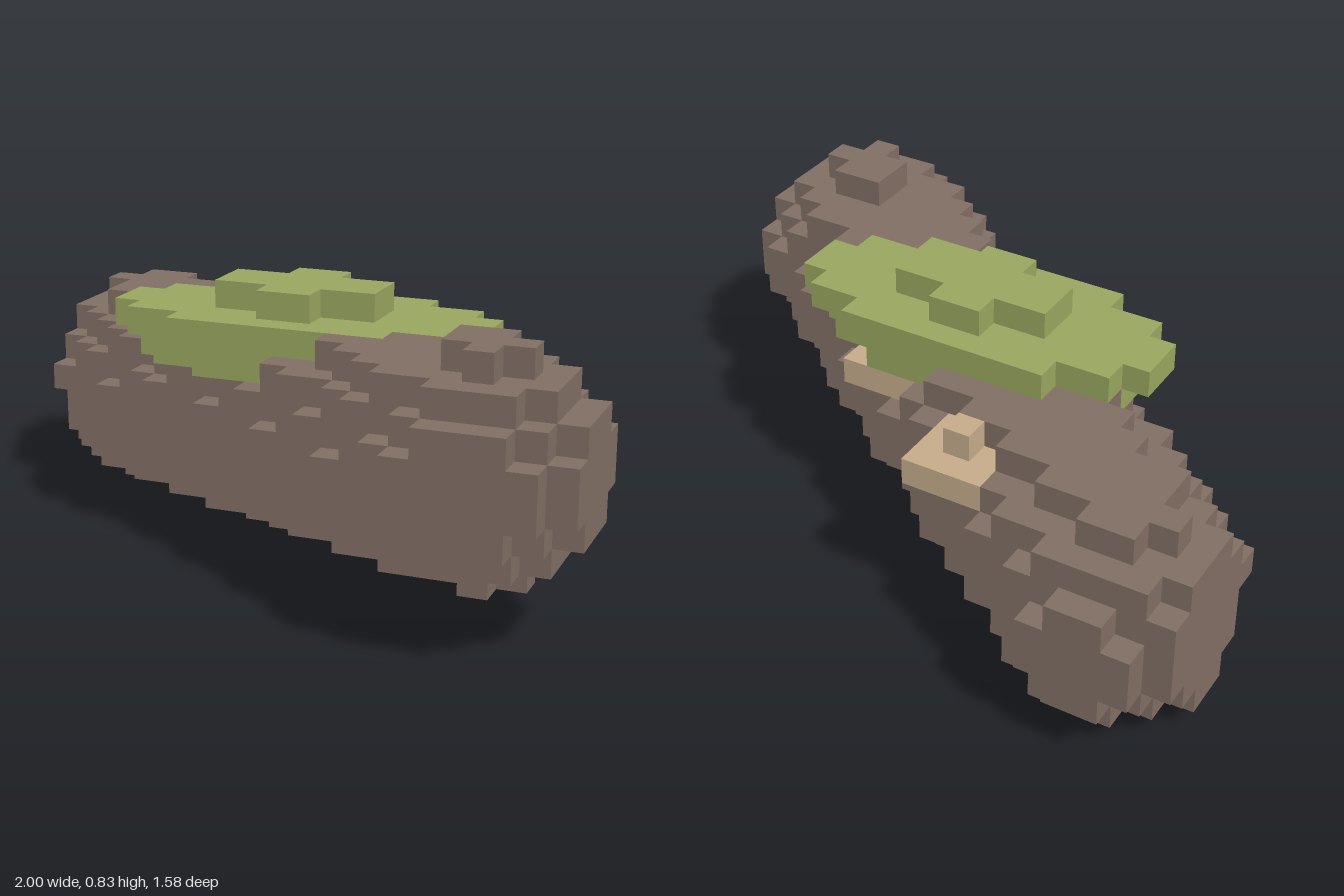
import * as THREE from 'three';
import { mergeGeometries } from 'three/addons/utils/BufferGeometryUtils.js';

const NX = 24, NY = 10, NZ = 19, CELL = 1 / 12;

// Fallen trunk: a round-ended log rising gently from start to end, in cell units
const START = new THREE.Vector3(2.6, 3.6, 3.3);
const END = new THREE.Vector3(20, 5.5, 15);
const AXIS = END.clone().sub(START);

function inTrunk(p) {
  const t = THREE.MathUtils.clamp(p.clone().sub(START).dot(AXIS) / AXIS.lengthSq(), 0, 1);
  const nearest = START.clone().addScaledVector(AXIS, t);
  return p.distanceToSquared(nearest) <= 14.35 - 0.85 * t;
}

// Moss cushion: a flattened ellipsoid lying over the middle
function inMoss(p) {
  return ((p.x - 11.5) / 7) ** 2 + ((p.y - 7.63) / 1.6) ** 2 + ((p.z - 9.5) / 3) ** 2 <= 1;
}

// Mushrooms: a three by three cap with one raised block
const MUSHROOMS = [[9, 4], [14, 8]];
function inMushroom(p) {
  return MUSHROOMS.some(([x, z]) => {
    const d = Math.max(Math.abs(p.x - x), Math.abs(p.z - z));
    return (p.y === 6 && d <= 1) || (p.y === 7 && d === 0);
  });
}

function partAt(x, y, z) {
  if (x < 0 || y < 0 || z < 0 || x >= NX || y >= NY || z >= NZ) return null;
  const p = new THREE.Vector3(x, y, z);
  if (inMoss(p)) return 'moss';
  if (inMushroom(p)) return 'mushrooms';
  return inTrunk(p) ? 'trunk' : null;
}

// One square for each side of a block, with its outward direction
function makeSides() {
  const dirs = [[1, 0, 0], [-1, 0, 0], [0, 1, 0], [0, -1, 0], [0, 0, 1], [0, 0, -1]];
  const forward = new THREE.Vector3(0, 0, 1);
  return dirs.map((dir) => {
    const normal = new THREE.Vector3(...dir);
    const turn = dir[2] === -1
      ? new THREE.Quaternion(0, 1, 0, 0)
      : new THREE.Quaternion().setFromUnitVectors(forward, normal);
    const square = new THREE.PlaneGeometry(CELL, CELL).translate(0, 0, CELL / 2).applyQuaternion(turn);
    return { dir, square };
  });
}

export function createModel() {
  const materials = {
    trunk: new THREE.MeshStandardMaterial({ name: 'bark brown', color: 0x806e63 }),
    moss: new THREE.MeshStandardMaterial({ name: 'moss green', color: 0x98a55f }),
    mushrooms: new THREE.MeshStandardMaterial({ name: 'mushroom tan', color: 0xc4ab8a }),
  };
  const faces = { trunk: [], moss: [], mushrooms: [] };
  const sides = makeSides();

  // Keep only the block sides that touch open air
  const index = (x, y, z) => (x * NY + y) * NZ + z;
  const grid = [];
  for (let x = 0; x < NX; x++)
    for (let y = 0; y < NY; y++)
      for (let z = 0; z < NZ; z++) grid[index(x, y, z)] = partAt(x, y, z);
  const filled = (x, y, z) =>
    x >= 0 && y >= 0 && z >= 0 && x < NX && y < NY && z < NZ && grid[index(x, y, z)] !== null;

  for (let x = 0; x < NX; x++)
    for (let y = 0; y < NY; y++)
      for (let z = 0; z < NZ; z++) {
        const part = grid[index(x, y, z)];
        if (!part) continue;
        for (const { dir, square } of sides) {
          if (filled(x + dir[0], y + dir[1], z + dir[2])) continue;
          faces[part].push(square.clone().translate(
            (x - (NX - 1) / 2) * CELL, (y + 0.5) * CELL, (z - (NZ - 1) / 2) * CELL));
        }
      }

  const group = new THREE.Group();
  group.name = 'mossyLog';
  for (const part of Object.keys(faces)) {
    const mesh = new THREE.Mesh(mergeGeometries(faces[part]), materials[part]);
    mesh.name = part;
    group.add(mesh);
  }
  return group;
}
